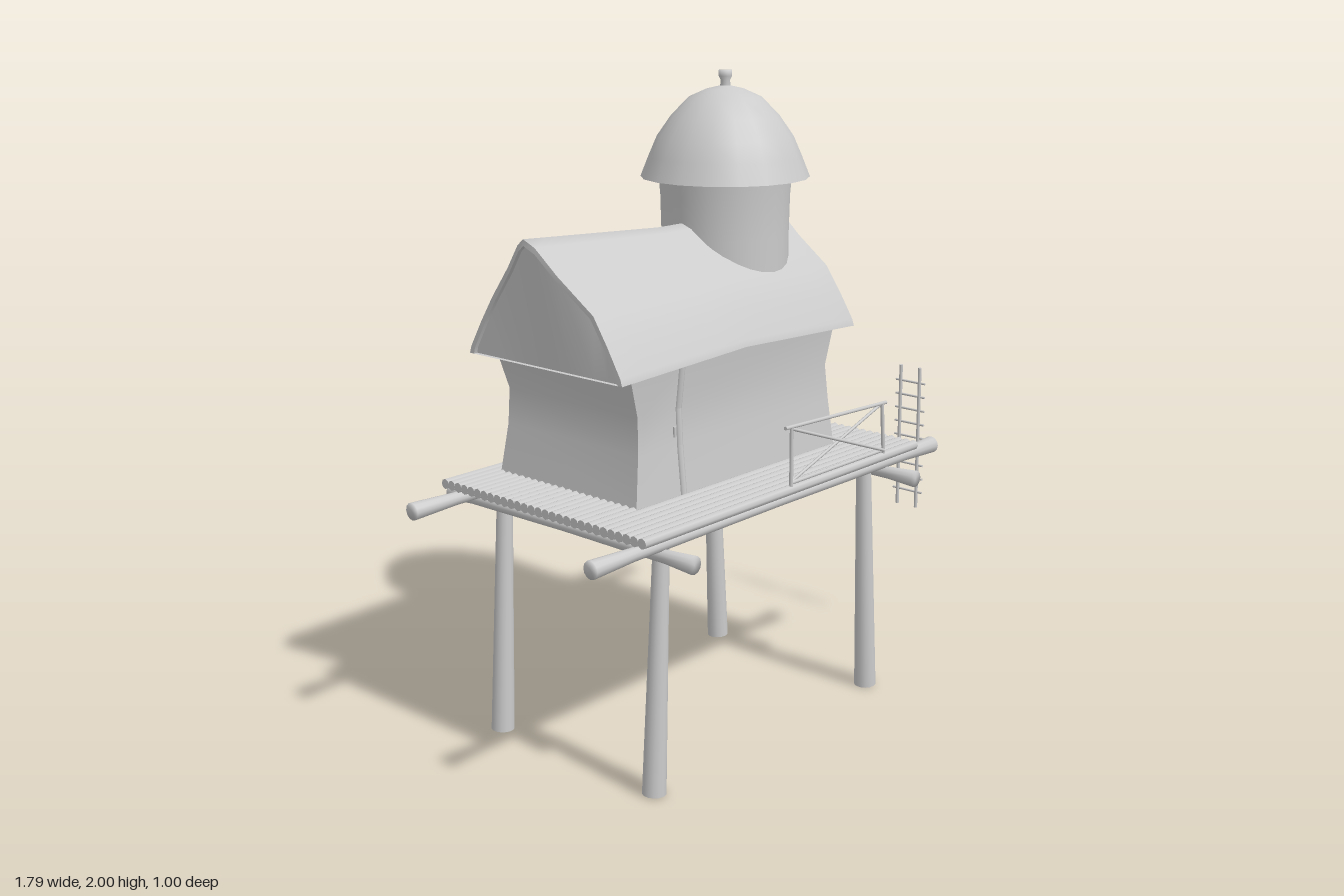
import * as THREE from 'three';

const mat = new THREE.MeshStandardMaterial({ color: 0xcccccc, side: THREE.DoubleSide });
const V = (x, y, z) => new THREE.Vector3(x, y, z);

function add(parent, name, geo) {
  const m = new THREE.Mesh(geo, mat);
  m.name = name;
  parent.add(m);
  return m;
}

function subgroup(parent, name) {
  const g = new THREE.Group();
  g.name = name;
  parent.add(g);
  return g;
}

// Round bar from a to b, with a radius at each end
function rod(parent, name, a, b, ra, rb = ra, sides = 8) {
  const d = b.clone().sub(a);
  const m = add(parent, name, new THREE.CylinderGeometry(rb, ra, d.length(), sides));
  m.position.copy(a).addScaledVector(d, 0.5);
  m.quaternion.setFromUnitVectors(V(0, 1, 0), d.normalize());
  return m;
}

// Smooth grid surface through f(u, v), optionally leaving cells open
function panel(parent, name, us, vs, f, skip = () => false) {
  const pos = [], idx = [], n = vs.length;
  us.forEach(u => vs.forEach(v => pos.push(...f(u, v).toArray())));
  for (let i = 0; i < us.length - 1; i++)
    for (let j = 0; j < n - 1; j++) {
      if (skip(i, j)) continue;
      const a = i * n + j, b = a + n;
      idx.push(a, b, b + 1, a, b + 1, a + 1);
    }
  const g = new THREE.BufferGeometry();
  g.setAttribute('position', new THREE.Float32BufferAttribute(pos, 3));
  g.setIndex(idx);
  g.computeVertexNormals();
  return add(parent, name, g);
}

const lathe = (pts, n) => new THREE.LatheGeometry(pts.map(p => new THREE.Vector2(...p)), n);

function buildStand(root) {
  const stand = subgroup(root, 'stand');
  for (const z of [0.328, -0.32]) {
    rod(stand, 'leg', V(-0.613, 0, z), V(-0.575, 0.77, z), 0.036, 0.024, 14);
    rod(stand, 'leg', V(0.41, 0, z), V(0.373, 0.77, z), 0.036, 0.024, 14);
  }
  // Beams are thicker at both ends
  const beam = h => lathe([[0, -h], [0.027, -h], [0.02, -h * 0.8], [0.017, 0],
    [0.02, h * 0.8], [0.027, h], [0, h]], 12);
  for (const z of [-0.36, 0.375]) {
    const b = add(stand, 'longBeam', beam(0.792));
    b.rotation.z = Math.PI / 2;
    b.position.set(-0.108, 0.775, z);
  }
  for (const x of [-0.625, 0.42]) {
    const b = add(stand, 'crossBeam', beam(0.5));
    b.rotation.x = Math.PI / 2;
    b.position.set(x, 0.742, -0.003);
  }
  // Deck of thin round poles
  const deck = subgroup(root, 'deck');
  for (let i = 0; i < 29; i++) {
    const z = -0.405 + i * 0.81 / 28;
    rod(deck, 'deckPole', V(-0.735, 0.811, z), V(0.54, 0.811, z), 0.0158);
  }
}

function buildWalls(root) {
  const walls = subgroup(root, 'walls');
  // Pinched-waist outline at each height: y, left, right, front, back
  const rows = [
    [0.81, -0.558, 0.36, 0.216, -0.355], [0.97, -0.532, 0.346, 0.2, -0.342],
    [1.08, -0.527, 0.335, 0.195, -0.338], [1.22, -0.575, 0.357, 0.212, -0.345]];
  const js = [0, 1, 2, 3], ends = [0, 1], { lerp } = THREE.MathUtils;
  panel(walls, 'frontWall', ends, js, (u, j) => V(lerp(rows[j][1], rows[j][2], u), rows[j][0], rows[j][3]));
  for (const s of [1, 2])
    panel(walls, 'endWall', ends, js, (u, j) => V(rows[j][s], rows[j][0], lerp(rows[j][3], rows[j][4], u)));
  // Back wall with the window opening
  panel(walls, 'backWall', [2, 0.18, 0.045, 1], js,
    (u, j) => V(u >= 1 ? rows[j][3 - u] : u, rows[j][0], rows[j][4]),
    (i, j) => i === 1 && j === 1);

  // Door with post and handle, following the wall
  const door = subgroup(root, 'door');
  panel(door, 'doorPanel', ends, js,
    (u, j) => V(lerp(rows[j][1] + 0.012, -0.375, u), rows[j][0], rows[j][3] + 0.006));
  for (let j = 0; j < 3; j++)
    rod(door, 'doorPost', V(-0.362, rows[j][0], rows[j][3] + 0.002),
      V(-0.362, rows[j + 1][0], rows[j + 1][3] + 0.002), 0.012);
  rod(door, 'doorHandle', V(-0.39, 1.0, 0.212), V(-0.39, 1.03, 0.211), 0.005);

  // Propped shutter made of two boards
  const win = subgroup(root, 'window');
  for (const x of [0.079, 0.146]) {
    const b = add(win, 'shutterBoard', new THREE.BoxGeometry(0.065, 0.008, 0.12));
    b.position.set(x, 1.05, -0.392);
    b.rotation.x = -0.52;
  }
  for (const x of [0.06, 0.165])
    rod(win, 'shutterProp', V(x, 0.967, -0.342), V(x, 1.035, -0.405), 0.004);
}

function buildRoof(root) {
  const roof = subgroup(root, 'mainRoof');
  const half = [[0.314, 1.2], [0.308, 1.22], [0.26, 1.302], [0.207, 1.383], [0.1, 1.47], [0.035, 1.533]];
  const section = [...half, [0, 1.55], ...half.map(([o, y]) => [-o, y]).reverse()];
  const us = Array.from({ length: 13 }, (_, i) => i / 12);
  const is = section.map((_, i) => i);
  // Bent ridge, arched eaves and a raking peak on one end
  const point = (u, i, inset = 0) => {
    const [o, y] = section[i], a = Math.abs(o);
    const k = Math.max(0, 1 - a / 0.207);
    const x0 = -0.637 - 0.063 * k, x1 = 0.42 - 0.024 * (1 - a / 0.314);
    const lift = 0.032 * k * Math.max(0, 1 - u * 2) + 0.022 * (a / 0.314) * (1 - Math.abs(2 * u - 1));
    const s = 1 - 0.055 * inset;
    return V(x0 + (x1 - x0) * u, 1.2 + (y - 1.2) * s + lift, -0.071 + o * s);
  };
  panel(roof, 'roofOuter', us, is, (u, i) => point(u, i));
  panel(roof, 'roofInner', us, is, (u, i) => point(u, i, 1));
  for (const u of [0, 1])
    panel(roof, 'roofEndEdge', is, [0, 1], (i, v) => point(u, i, v));
  for (const i of [0, section.length - 1])
    panel(roof, 'eaveEdge', us, [0, 1], (u, v) => point(u, i, v));
  // Gables set slightly behind the roof edge
  for (const u of [0.012, 0.988])
    panel(roof, 'gable', is, [0, 1], (i, v) => {
      const p = point(u, i, 1);
      return v ? p : V(point(u, 0, 1).x, 1.2, p.z);
    });
  panel(roof, 'soffit', us, [0, section.length - 1], (u, i) => point(u, i, 1));
}

function buildTower(root) {
  const tower = subgroup(root, 'tower');
  tower.position.set(0.155, 0, -0.071);
  add(tower, 'towerWall', lathe([[0.2, 1.25], [0.2, 1.5], [0.203, 1.62], [0.212, 1.72]], 28));
  add(tower, 'towerRoof', lathe([[0.264, 1.675], [0.238, 1.74], [0.212, 1.8], [0.168, 1.863],
    [0.112, 1.92], [0.06, 1.943], [0, 1.957]], 18));
  add(tower, 'towerRoofUnderside', lathe([[0.264, 1.675], [0.25, 1.675], [0.19, 1.78]], 18));
  add(tower, 'finial', lathe([[0.017, 1.94], [0.015, 1.97], [0.021, 1.982], [0.021, 2], [0, 2]], 12));
}

function buildRailing(root) {
  const rail = subgroup(root, 'railing');
  const z = 0.41, r = 0.006;
  rod(rail, 'topRail', V(-0.13, 1.007, z), V(0.37, 0.987, z), r);
  rod(rail, 'bottomRail', V(-0.1, 0.834, z), V(0.36, 0.834, z), r);
  rod(rail, 'railPost', V(-0.1, 0.815, z), V(-0.1, 1.005, z), r);
  rod(rail, 'railPost', V(0.365, 0.815, z), V(0.35, 0.99, z), r);
  rod(rail, 'railBrace', V(-0.1, 0.834, z - 0.004), V(0.35, 0.985, z - 0.004), r * 0.8);
  rod(rail, 'railBrace', V(-0.1, 1, z + 0.004), V(0.36, 0.834, z + 0.004), r * 0.8);
}

function buildLadder(root) {
  const ladder = subgroup(root, 'ladder');
  for (const z of [0.107, 0.185])
    rod(ladder, 'ladderRail', V(0.885, 0.465, z), V(0.885, 0.967, z), 0.006);
  for (let i = 0; i < 9; i++) {
    const y = 0.52 + i * 0.049;
    rod(ladder, 'rung', V(0.888, y, 0.086), V(0.888, y, 0.206), 0.004);
  }
}

export function createModel() {
  const root = new THREE.Group();
  root.name = 'stiltHouse';
  buildStand(root);
  buildWalls(root);
  buildRoof(root);
  buildTower(root);
  buildRailing(root);
  buildLadder(root);
  return root;
}
